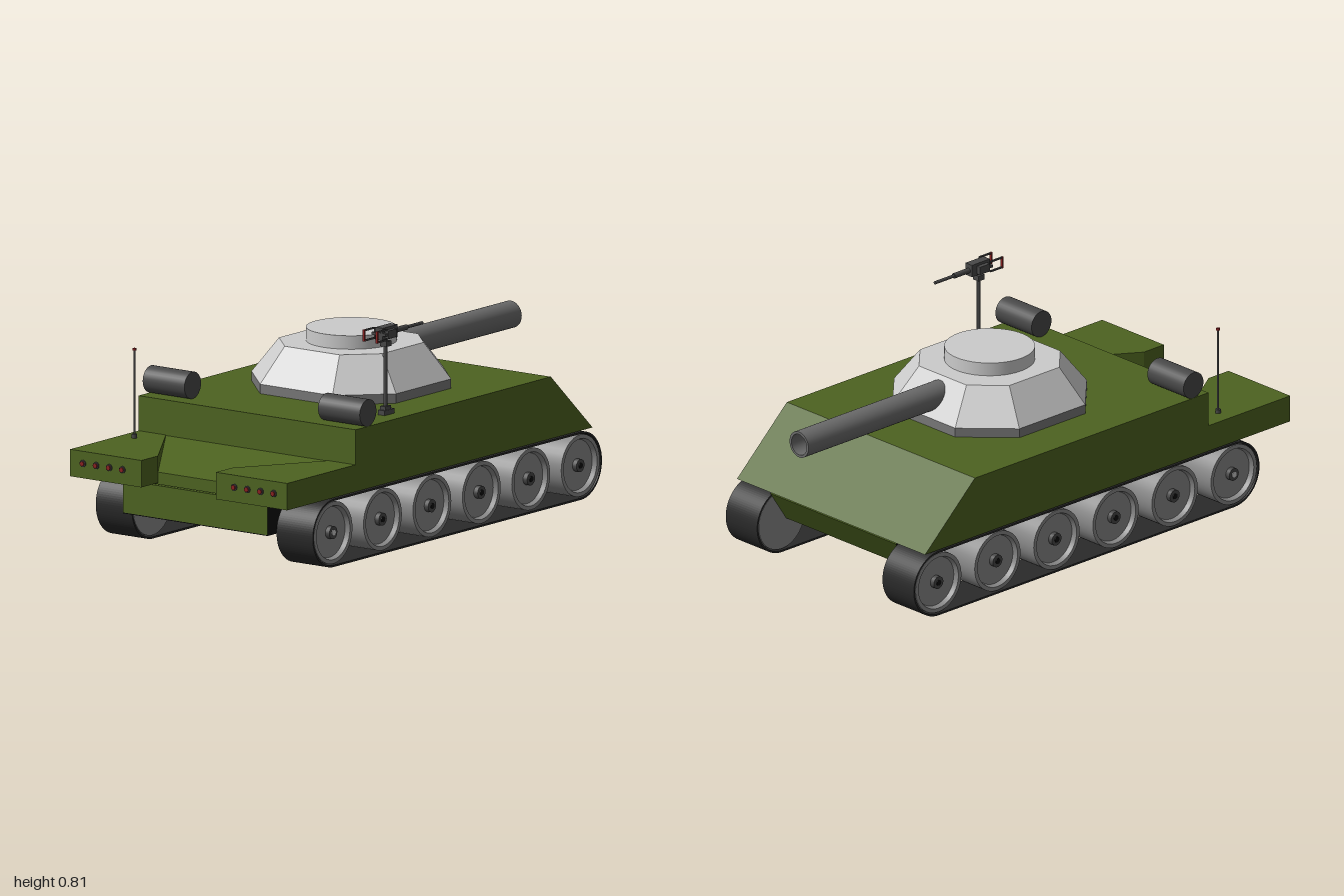
import * as THREE from 'three';

const mat = (color, extra = {}) => new THREE.MeshStandardMaterial({ color, ...extra });
const green = mat(0x4d6320), grey = mat(0xcccccc, { flatShading: true });
const smoothGrey = mat(0xcccccc), baseGrey = mat(0x777777, { flatShading: true });
const gunGrey = mat(0x6a6a6a, { side: THREE.DoubleSide });
const wheelGrey = mat(0x8a8a8a), dark = mat(0x484848), rubber = mat(0x2a2a2a);
const black = mat(0x0c0c0c), red = mat(0x8a2020);

function add(parent, name, geometry, material, x = 0, y = 0, z = 0) {
  const mesh = new THREE.Mesh(geometry, material);
  mesh.name = name;
  mesh.position.set(x, y, z);
  parent.add(mesh);
  return mesh;
}

const box = (w, h, d) => new THREE.BoxGeometry(w, h, d);
const rod = (r, len, axis = 'y', sides = 16) => {
  const g = new THREE.CylinderGeometry(r, r, len, sides);
  if (axis === 'x') g.rotateZ(-Math.PI / 2);
  if (axis === 'z') g.rotateX(Math.PI / 2);
  return g;
};
const polygon = (pts) => new THREE.Shape(pts.map(([x, y]) => new THREE.Vector2(x, y)));

// Side profile (x, y) extruded across the width, centred on z = 0
function across(shape, width) {
  return new THREE.ExtrudeGeometry(shape, { depth: width, bevelEnabled: false, curveSegments: 24 })
    .translate(0, 0, -width / 2);
}

// Flat-faced loft through octagons given as [y, half width, half side], with a lid
function octagonLoft(levels) {
  const rings = levels.map(([y, h, s]) =>
    [[h, s], [s, h], [-s, h], [-h, s], [-h, -s], [-s, -h], [s, -h], [h, -s]].map(([x, z]) => [x, y, z]));
  const v = [];
  for (let i = 0; i < 8; i++) {
    const j = (i + 1) % 8;
    for (let k = 0; k + 1 < rings.length; k++) {
      const a = rings[k], b = rings[k + 1];
      v.push(...a[i], ...b[i], ...a[j], ...a[j], ...b[i], ...b[j]);
    }
    const top = rings[rings.length - 1];
    v.push(0, top[0][1], 0, ...top[j], ...top[i]);
  }
  const g = new THREE.BufferGeometry();
  g.setAttribute('position', new THREE.Float32BufferAttribute(v, 3));
  g.computeVertexNormals();
  return g;
}

// Rounded-end loop of a track, seen from the side
function stadium(Target, r, x0, x1, y) {
  const p = new Target();
  p.moveTo(x0, y - r);
  p.lineTo(x1, y - r);
  p.absarc(x1, y, r, -Math.PI / 2, Math.PI / 2, false);
  p.lineTo(x0, y + r);
  p.absarc(x0, y, r, Math.PI / 2, Math.PI * 1.5, false);
  return p;
}

function buildHull() {
  const hull = new THREE.Group();
  hull.name = 'hull';
  add(hull, 'upperHull', across(polygon([[-0.58, 0.26], [0.84, 0.26], [0.59, 0.49], [-0.58, 0.49]]), 0.99), green);
  add(hull, 'rearRamp', across(polygon([[-0.89, 0.255], [-0.57, 0.255], [-0.57, 0.36], [-0.89, 0.3]]), 0.74), green);
  add(hull, 'lowerHull', across(polygon([[-0.89, 0.13], [0.75, 0.13], [0.83, 0.25], [-0.89, 0.25]]), 0.66), [black, green]);
  add(hull, 'bellyPlate', box(1.63, 0.004, 0.66), black, -0.075, 0.129, 0);
  // Rear fenders with a slanted inner edge and a row of tail lights
  for (const s of [1, -1]) {
    const pts = [[-0.99, 0.495], [-0.99, 0.17], [-0.89, 0.17], [-0.58, 0.37], [-0.58, 0.495]];
    const g = new THREE.ExtrudeGeometry(polygon(pts.map(([x, z]) => [x, -s * z])), { depth: 0.1, bevelEnabled: false });
    add(hull, 'rearFender', g.rotateX(-Math.PI / 2), green, 0, 0.26, 0);
    for (let i = 0; i < 4; i++) {
      const z = s * (0.255 + i * 0.06);
      add(hull, 'tailLightHousing', rod(0.013, 0.01, 'x', 12), dark, -0.99, 0.315, z);
      add(hull, 'tailLight', rod(0.009, 0.01, 'x', 12), red, -0.995, 0.315, z);
    }
    add(hull, 'fuelDrum', rod(0.05, 0.19, 'z', 32), dark, -0.505, 0.54, s * 0.4);
  }
  return hull;
}

// Track belt with six dished wheels; the outer side faces +z
function buildTrack() {
  const track = new THREE.Group();
  track.name = 'track';
  const belt = stadium(THREE.Shape, 0.126, -0.71, 0.77, 0.129);
  belt.holes.push(stadium(THREE.Path, 0.119, -0.71, 0.77, 0.129));
  add(track, 'trackBelt', across(belt, 0.165), rubber, 0, 0, 0.4125);
  const profile = [[0, -0.08], [0.115, -0.08], [0.115, -0.08], [0.115, 0.08], [0.115, 0.08], [0.1, 0.08],
    [0.1, 0.08], [0.094, 0.062], [0.094, 0.062], [0, 0.062]].map(([r, y]) => new THREE.Vector2(r, y));
  const wheel = new THREE.LatheGeometry(profile, 36).rotateX(Math.PI / 2);
  for (let i = 0; i < 6; i++) {
    const x = -0.71 + i * 0.296;
    add(track, 'wheel', wheel, wheelGrey, x, 0.13, 0.4125);
    add(track, 'wheelHub', rod(0.024, 0.02, 'z', 16), dark, x, 0.13, 0.483);
    add(track, 'axleCap', rod(0.011, 0.03, 'z', 12), i ? black : smoothGrey, x, 0.13, 0.481);
  }
  return track;
}

function buildTurret() {
  const turret = new THREE.Group();
  turret.name = 'turret';
  turret.position.x = 0.045;
  add(turret, 'turretBase', octagonLoft([[0.488, 0.33, 0.165], [0.525, 0.33, 0.165]]), baseGrey);
  add(turret, 'turretShell', octagonLoft([[0.525, 0.33, 0.165], [0.655, 0.235, 0.125]]), grey);
  add(turret, 'turretHatch', rod(0.165, 0.055, 'y', 48), smoothGrey, 0, 0.6775, 0);
  // Hollow gun tube with a thick muzzle
  const wall = [[0.04, 0], [0.04, 0.74], [0.04, 0.74], [0.05, 0.74], [0.05, 0.74], [0.05, 0]]
    .map(([r, y]) => new THREE.Vector2(r, y));
  const barrel = new THREE.LatheGeometry(wall.reverse(), 32).rotateZ(-Math.PI / 2);
  add(turret, 'gunBarrel', barrel, gunGrey, 0.215, 0.59, 0);
  return turret;
}

function buildMachineGun() {
  const gun = new THREE.Group();
  gun.name = 'machineGun';
  gun.position.set(-0.295, 0.49, 0.415);
  add(gun, 'mountFoot', box(0.06, 0.018, 0.03), dark, 0.005, 0.009, 0);
  add(gun, 'mountCollar', box(0.035, 0.015, 0.024), dark, 0, 0.024, 0);
  add(gun, 'mountPost', rod(0.007, 0.25), dark, 0, 0.14, 0);
  add(gun, 'mountCradle', box(0.03, 0.02, 0.03), dark, 0, 0.263, 0);
  add(gun, 'gunBody', box(0.09, 0.046, 0.034), dark, 0.005, 0.304, 0);
  add(gun, 'ammoBox', box(0.05, 0.03, 0.066), dark, 0, 0.302, 0);
  add(gun, 'barrelJacket', rod(0.01, 0.09, 'x'), dark, 0.08, 0.302, 0);
  add(gun, 'gunMuzzle', rod(0.006, 0.12, 'x'), dark, 0.16, 0.302, 0);
  // Twin rear grips joined by red handles
  for (const s of [1, -1]) {
    for (const y of [0.284, 0.322]) add(gun, 'gripArm', box(0.06, 0.006, 0.006), dark, -0.06, y, s * 0.029);
    add(gun, 'gripHandle', box(0.007, 0.044, 0.009), red, -0.09, 0.303, s * 0.029);
  }
  add(gun, 'gripBridge', box(0.012, 0.01, 0.064), dark, -0.035, 0.303, 0);
  return gun;
}

export function createModel() {
  const tank = new THREE.Group();
  tank.name = 'tank';
  tank.add(buildHull(), buildTurret(), buildMachineGun());
  const left = buildTrack();
  const right = buildTrack();
  right.traverse((m) => { m.position.z *= -1; if (m.isMesh && m.name === 'wheel') m.rotation.y = Math.PI; });
  tank.add(left, right);
  // Whip antenna on the rear right fender
  add(tank, 'antennaBase', rod(0.01, 0.015), dark, -0.69, 0.367, -0.43);
  add(tank, 'antennaRod', rod(0.004, 0.325, 'y', 10), dark, -0.69, 0.525, -0.43);
  add(tank, 'antennaTip', rod(0.007, 0.008, 'y', 10), red, -0.69, 0.689, -0.43);
  return tank;
}
